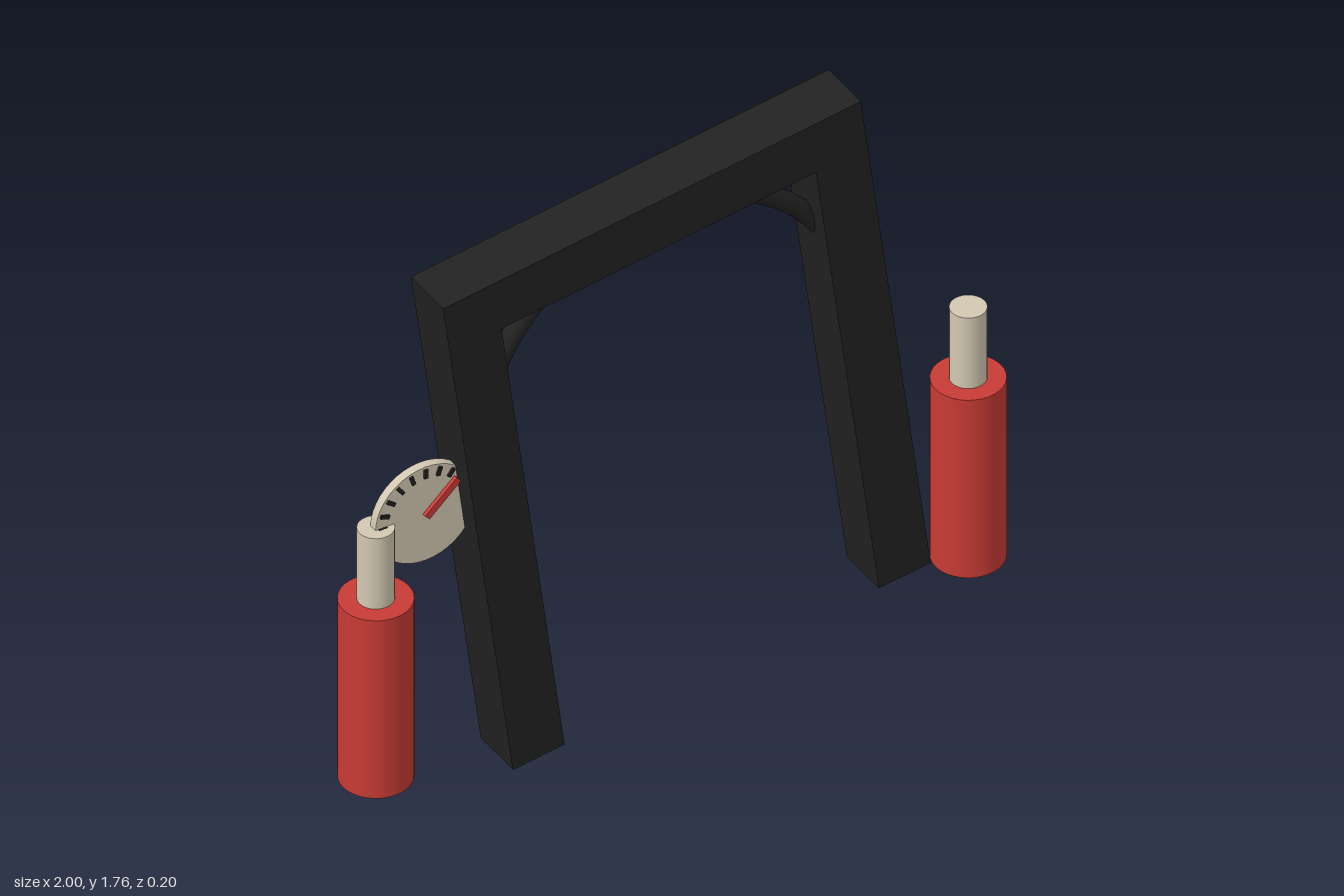
import * as THREE from 'three';

const mat = (name, color) => {
  const m = new THREE.MeshStandardMaterial({ color });
  m.name = name;
  return m;
};

export function createModel() {
  const model = new THREE.Group();
  model.name = 'archWithGauge';
  const black = mat('black', 0x222222);
  const red = mat('red', 0xc83b35);
  const cream = mat('cream', 0xd2c8b2);

  const add = (parent, name, geometry, material, x = 0, y = 0, z = 0) => {
    const mesh = new THREE.Mesh(geometry, material);
    mesh.name = name;
    mesh.position.set(x, y, z);
    parent.add(mesh);
    return mesh;
  };

  // Tilted gate: two legs and a top beam as one profile
  const gate = new THREE.Group();
  gate.name = 'tiltedGate';
  gate.position.set(0.1025, 0.0865, 0);
  gate.rotation.z = 0.1326;
  model.add(gate);
  const W = 0.64, H = 1.605, T = 0.158, D = 0.16;
  const profile = new THREE.Shape([
    [-W, 0], [-W + T, 0], [-W + T, H - T], [W - T, H - T],
    [W - T, 0], [W, 0], [W, H], [-W, H],
  ].map(([x, y]) => new THREE.Vector2(x, y)));
  const frame = new THREE.ExtrudeGeometry(profile, { depth: D, bevelEnabled: false });
  add(gate, 'gateFrame', frame, black, 0, 0, -D / 2);

  // Round arch whose ends run into the legs and crown into the beam
  add(gate, 'archTube', new THREE.TorusGeometry(0.563, 0.029, 12, 48, Math.PI), black, 0, 0.953, 0);

  // A plunger on each side
  for (const [side, s] of [['left', 1], ['right', -1]]) {
    add(model, side + 'Cylinder', new THREE.CylinderGeometry(0.1, 0.1, 0.58, 32), red, s * 0.9, 0.37, 0);
    add(model, side + 'Rod', new THREE.CylinderGeometry(0.05, 0.05, 0.23, 24), cream, s * 0.9, 0.775, 0);
  }

  // Gauge: dial, tick marks over the upper half, needle
  const gauge = new THREE.Group();
  gauge.name = 'gauge';
  gauge.position.set(-0.757, 0.885, 0);
  model.add(gauge);
  const dial = new THREE.CylinderGeometry(0.152, 0.152, 0.026, 40).rotateX(Math.PI / 2);
  add(gauge, 'dial', dial, cream);
  for (let i = 0; i <= 10; i++) {
    const a = (i / 10) * Math.PI;
    const tick = add(gauge, 'tick' + i, new THREE.BoxGeometry(0.027, 0.011, 0.008), black,
      Math.cos(a) * 0.131, Math.sin(a) * 0.131, 0.015);
    tick.rotation.z = a;
  }
  const needle = add(gauge, 'needle', new THREE.BoxGeometry(0.13, 0.02, 0.012), red, 0.045, 0.041, 0.022);
  needle.rotation.z = 0.74;

  return model;
}
